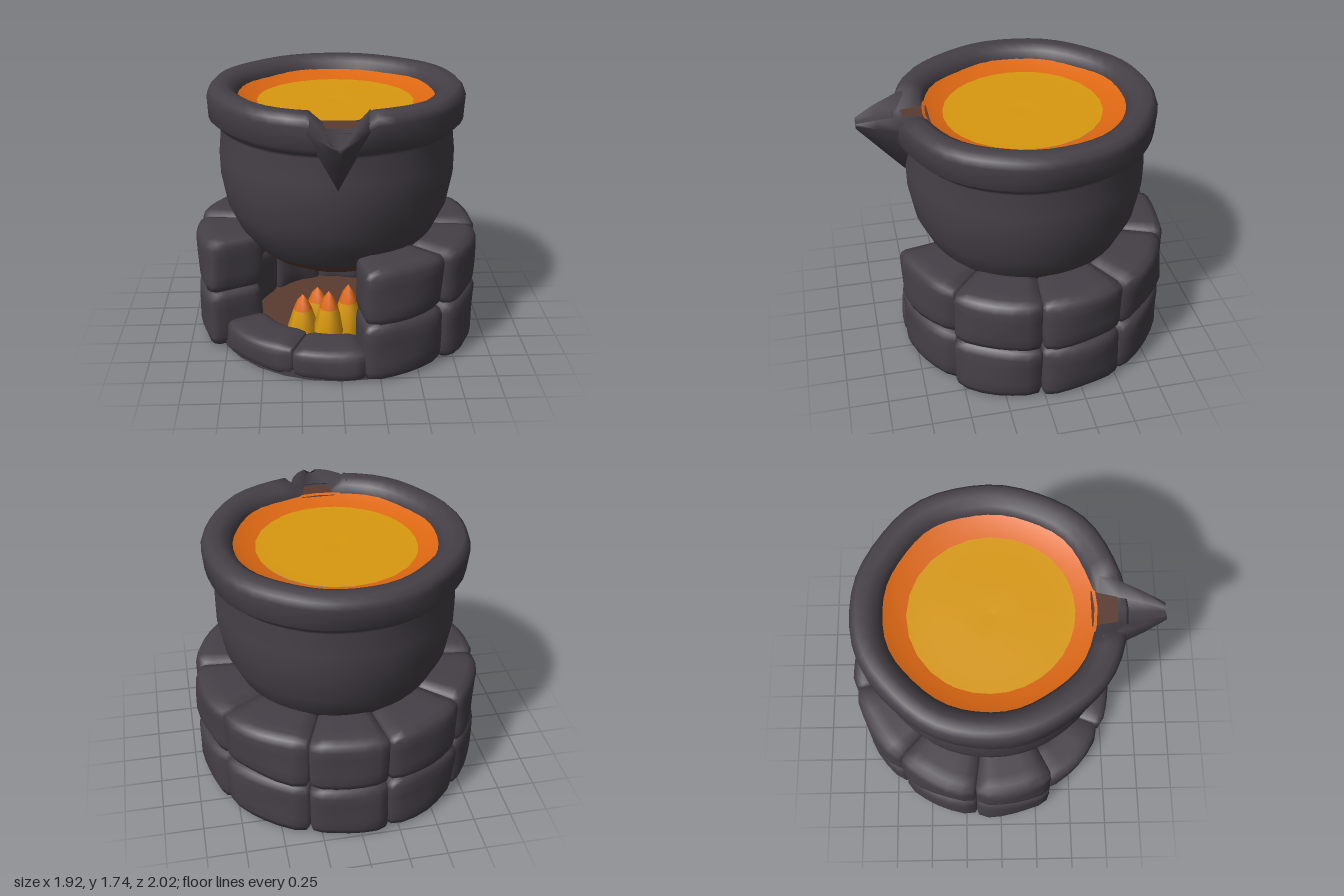
import * as THREE from 'three';
import { mergeVertices } from 'three/addons/utils/BufferGeometryUtils.js';

const flat = (name, color) => {
  const m = new THREE.MeshStandardMaterial({ color });
  m.name = name;
  return m;
};
const rad = THREE.MathUtils.degToRad;
const CZ = -0.06; // centre of hearth and pot along z

// Weld seams and shade smoothly
function smooth(geo) {
  geo.deleteAttribute('uv');
  geo.deleteAttribute('normal');
  const g = mergeVertices(geo, 1e-4);
  g.computeVertexNormals();
  return g;
}

function lathe(points, segments) {
  return new THREE.LatheGeometry(points.map(([r, y]) => new THREE.Vector2(r, y)), segments);
}

// Rounded block bent around the hearth: angles in degrees from the front
function stoneGeometry(a0, a1, y0, y1, rIn, rOut, seed) {
  const arc = rad(a1 - a0), rMid = 0.88;
  const size = new THREE.Vector3(arc * rMid + 0.012, y1 - y0, rOut - rIn);
  const geo = new THREE.BoxGeometry(size.x, size.y, size.z, 6, 6, 6);
  const pos = geo.attributes.position, round = 0.065;
  const limit = size.clone().multiplyScalar(0.5).subScalar(round);
  const p = new THREE.Vector3(), inner = new THREE.Vector3();
  for (let i = 0; i < pos.count; i++) {
    p.fromBufferAttribute(pos, i);
    inner.copy(p).clamp(limit.clone().negate(), limit);
    p.sub(inner).normalize().multiplyScalar(round).add(inner);
    const angle = rad((a0 + a1) / 2) + p.x / rMid;
    const bump = 0.012 * Math.sin(p.x * 9 + seed * 2.3) * Math.cos(p.y * 8 + seed);
    const r = (rIn + rOut) / 2 + p.z + bump;
    pos.setXYZ(i, r * Math.sin(angle), (y0 + y1) / 2 + p.y, r * Math.cos(angle) + CZ);
  }
  return smooth(geo);
}

// Pouring lip: lofted cross-sections with a channel on top
function spoutGeometry() {
  const sections = [ // z, half width, top, bottom, channel floor
    [0.6, 0.24, 1.735, 1.2, 1.64],
    [0.72, 0.2, 1.73, 1.27, 1.64],
    [0.87, 0.13, 1.69, 1.44, 1.635],
    [1.0, 0.055, 1.645, 1.59, 1.62],
  ];
  const verts = [], index = [], n = 10;
  for (const [z, w, t, b, c] of sections) {
    const half = [[w * 0.5, b + (t - b) * 0.42], [w, t - (t - b) * 0.2], [w * 0.8, t], [w * 0.45, c]];
    const loop = [[0, b], ...half, [0, c], ...half.map(([x, y]) => [-x, y]).reverse()];
    for (const [x, y] of loop) verts.push(x - 0.02, y, z);
  }
  for (let i = 0; i < sections.length - 1; i++) {
    for (let j = 0; j < n; j++) {
      const a = i * n + j, b = i * n + (j + 1) % n;
      index.push(a, b, b + n, a, b + n, a + n);
    }
  }
  const base = (sections.length - 1) * n;
  for (let k = 1; k < n - 1; k++) index.push(base + 5, base + (5 + k) % n, base + (6 + k) % n);
  const geo = new THREE.BufferGeometry();
  geo.setAttribute('position', new THREE.Float32BufferAttribute(verts, 3));
  geo.setIndex(index);
  geo.computeVertexNormals();
  return geo;
}

export function createModel() {
  const stone = flat('dark stone', 0x454047);
  const glow = flat('glowing brown', 0x5a3c31);
  const orange = flat('molten orange', 0xde6812);
  const yellow = flat('molten yellow', 0xd9990f);
  const model = new THREE.Group();
  model.name = 'cauldronOnHearth';

  const add = (name, geo, mat, x = 0, y = 0, z = 0, parent = model) => {
    const mesh = new THREE.Mesh(geo, mat);
    mesh.name = name;
    mesh.position.set(x, y, z);
    parent.add(mesh);
    return mesh;
  };

  // Hearth: two courses of stones, open at the front left
  const hearth = new THREE.Group();
  hearth.name = 'hearth';
  model.add(hearth);
  const joints = [10, 48.5, 85, 120, 159, 191, 228, 263, 296];
  for (let i = 0; i < joints.length - 1; i++) {
    const rOut = i === 0 ? 0.9 : 0.945;
    add('lowerStone', stoneGeometry(joints[i], joints[i + 1], 0, 0.41, 0.56, rOut + 0.005, i), stone, 0, 0, 0, hearth);
    add('upperStone', stoneGeometry(joints[i], joints[i + 1], 0.39, 0.775, 0.55, rOut, i + 5), stone, 0, 0, 0, hearth);
  }
  add('sillStone', stoneGeometry(-64, -22, 0, 0.215, 0.55, 0.86, 2), stone, 0, 0, 0, hearth);
  add('sillStone', stoneGeometry(-22, 11, 0, 0.21, 0.55, 0.87, 4), stone, 0, 0, 0, hearth);
  add('hearthFloor', new THREE.CylinderGeometry(0.84, 0.84, 0.04, 28), stone, 0, 0.022, CZ, hearth);
  add('emberBed', new THREE.CylinderGeometry(0.6, 0.6, 0.008, 24), glow, 0, 0.046, CZ, hearth);

  // Flames: yellow body with an orange tip
  const flames = [[-0.24, 0.36, 0.41], [-0.07, 0.42, 0.46], [0.06, 0.35, 0.47], [-0.14, 0.2, 0.38]];
  for (const [x, z, h] of flames) {
    add('flameBody', lathe([[0.09, 0.03], [0.105, 0.4 * h], [0.062, 0.74 * h]], 7), yellow, x, 0, z);
    add('flameTip', lathe([[0.062, 0.74 * h], [0.035, 0.9 * h], [0, h]], 7), orange, x, 0, z);
  }

  // Pot with rolled rim, notched where the spout joins
  const pot = lathe([
    [0.57, 0.67], [0.66, 0.79], [0.735, 0.95], [0.77, 1.15], [0.772, 1.3], [0.755, 1.46],
    [0.77, 1.485], [0.825, 1.535], [0.835, 1.67], [0.82, 1.71], [0.79, 1.74], [0.72, 1.74],
    [0.665, 1.71], [0.64, 1.66], [0.62, 1.56],
  ], 48);
  const pos = pot.attributes.position;
  for (let i = 0; i < pos.count; i++) {
    const x = pos.getX(i), y = pos.getY(i), z = pos.getZ(i);
    const a = Math.atan2(x, z);
    const amount = y > 1.48 ? 0.012 : 0.004;
    const s = 1 + amount * (Math.sin(5 * a + y * 6) * 0.6 + Math.sin(9 * a + 1) * 0.4);
    const notched = Math.abs(a) < rad(8.5) ? Math.min(y, 1.64) : y;
    pos.setXYZ(i, x * s, notched, z * s);
  }
  add('pot', smooth(pot), stone, 0, 0, CZ);
  add('heatedPotBase', lathe([[0, 0.48], [0.2, 0.49], [0.4, 0.555], [0.5, 0.61], [0.57, 0.67]], 32), glow, 0, 0, CZ);
  add('spout', spoutGeometry(), stone);

  // Warm patch on the floor of the pouring channel
  const patch = new THREE.Shape([[-0.12, -0.55], [-0.09, -0.71], [0.07, -0.71], [0.11, -0.55]]
    .map(([x, y]) => new THREE.Vector2(x, y)));
  add('channelGlow', new THREE.ShapeGeometry(patch).rotateX(-Math.PI / 2), glow, 0, 1.652, 0);

  // Molten contents
  add('moltenEdge', lathe([[0.648, 1.66], [0.58, 1.63], [0.49, 1.612]], 32), orange, 0, 0, CZ);
  const pool = lathe([[0.515, 1.618], [0.35, 1.613], [0.18, 1.622], [0, 1.615]], 24);
  add('moltenPool', pool, yellow, -0.015, 0, -0.045);

  return model;
}
